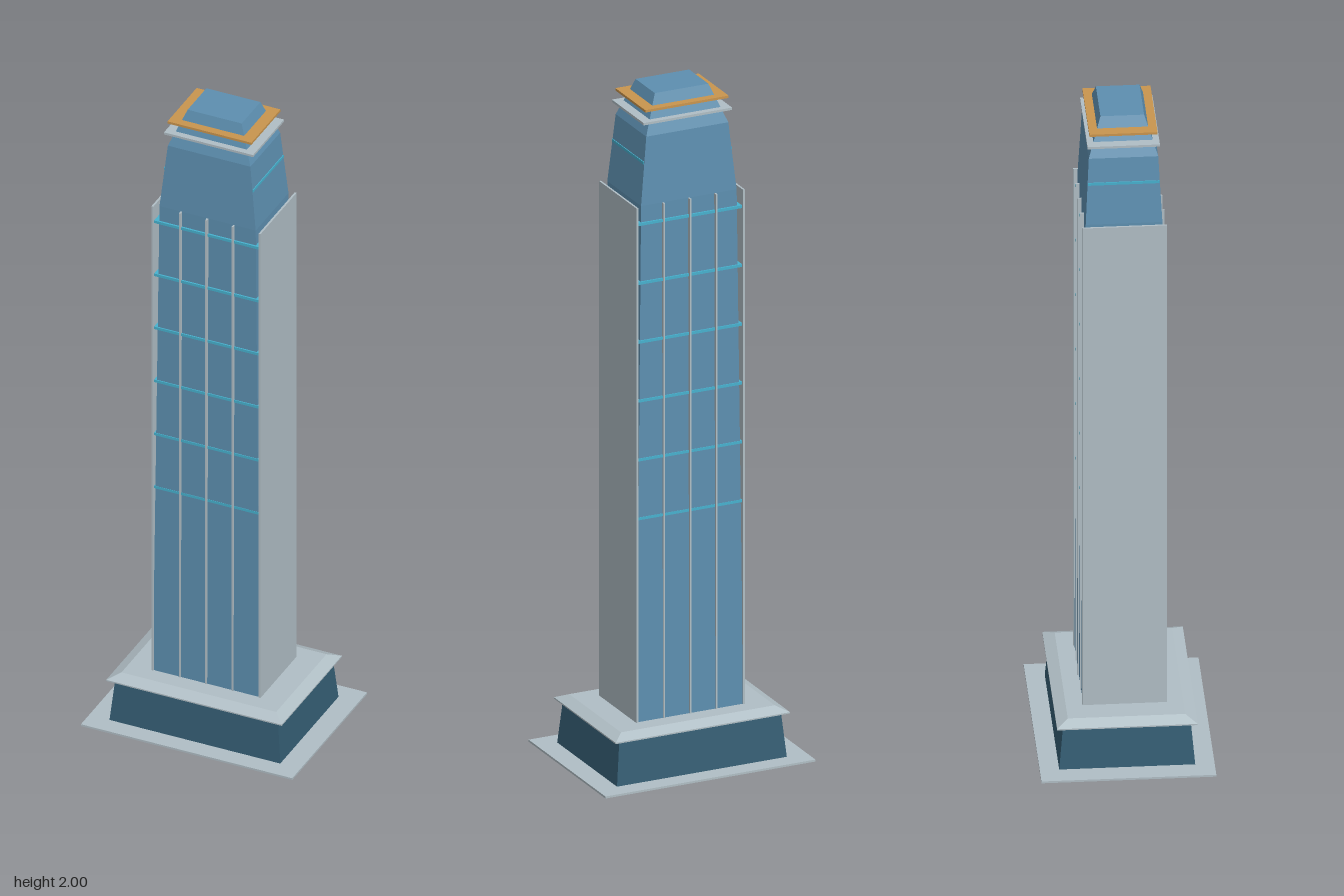
import * as THREE from 'three';

const mat = (name, color) => {
  const m = new THREE.MeshStandardMaterial({ color });
  m.name = name;
  return m;
};

// Stacked rectangular cross-sections [y, halfX, halfZ], closed at both ends
function loft(sections) {
  const pos = [];
  const ring = ([y, x, z]) => [[x, y, z], [x, y, -z], [-x, y, -z], [-x, y, z]];
  const quad = (a, b, c, d) => pos.push(...a, ...b, ...c, ...a, ...c, ...d);
  for (let i = 0; i < sections.length - 1; i++) {
    const lo = ring(sections[i]), hi = ring(sections[i + 1]);
    for (let k = 0; k < 4; k++) {
      const n = (k + 1) % 4;
      quad(lo[k], lo[n], hi[n], hi[k]);
    }
  }
  quad(...ring(sections[0]).reverse());
  quad(...ring(sections[sections.length - 1]));
  const g = new THREE.BufferGeometry();
  g.setAttribute('position', new THREE.Float32BufferAttribute(pos, 3));
  g.computeVertexNormals();
  return g;
}

export function createModel() {
  const group = new THREE.Group();
  group.name = 'skyscraper';
  const stone = mat('pale stone', 0xb0bec5);
  const glass = mat('blue glass', 0x5d8fb0);
  const darkGlass = mat('dark glass', 0x345d73);
  const teal = mat('teal band', 0x47b2cf);
  const amber = mat('amber trim', 0xc9954e);

  const add = (name, geometry, material) => {
    const mesh = new THREE.Mesh(geometry, material);
    mesh.name = name;
    group.add(mesh);
    return mesh;
  };
  const box = (name, material, w, h, d, x, y) =>
    add(name, new THREE.BoxGeometry(w, h, d), material).position.set(x, y, 0);

  // Plaza, podium and sloped podium roof
  box('plaza', stone, 0.65, 0.006, 0.488, 0, 0.003);
  add('podium', loft([[0.004, 0.263, 0.19], [0.14, 0.25, 0.178]]), darkGlass);
  add('podiumRoof', loft([[0.136, 0.27, 0.196], [0.14, 0.27, 0.196], [0.155, 0.238, 0.164]]), stone);

  // Tapering glass tower with its crown
  add('tower', loft([
    [0.15, 0.165, 0.1146], [1.69, 0.148, 0.107], [1.89, 0.127, 0.097], [2, 0.083, 0.061],
  ]), glass);

  // Stone side walls and slim vertical fins
  const bottom = 0.15, top = 1.69, midY = (bottom + top) / 2;
  for (const s of [-1, 1]) box('sideWall', stone, 0.006, top - bottom, 0.236, s * 0.165, midY);
  for (const x of [-0.081, 0, 0.081]) box('fin', stone, 0.005, top - bottom, 0.236, x, midY);

  // Horizontal bands on the shaft, and a narrower one on the crown
  for (let i = 0; i < 6; i++) box('floorBand', teal, 0.324, 0.008, 0.2252, 0, 0.76 + i * 0.1755);
  box('crownBand', teal, 0.274, 0.008, 0.2, 0, 1.813);

  // Crown ledges
  box('lowerLedge', stone, 0.274, 0.007, 0.202, 0, 1.93);
  box('upperLedge', amber, 0.258, 0.007, 0.19, 0, 1.965);

  return group;
}
